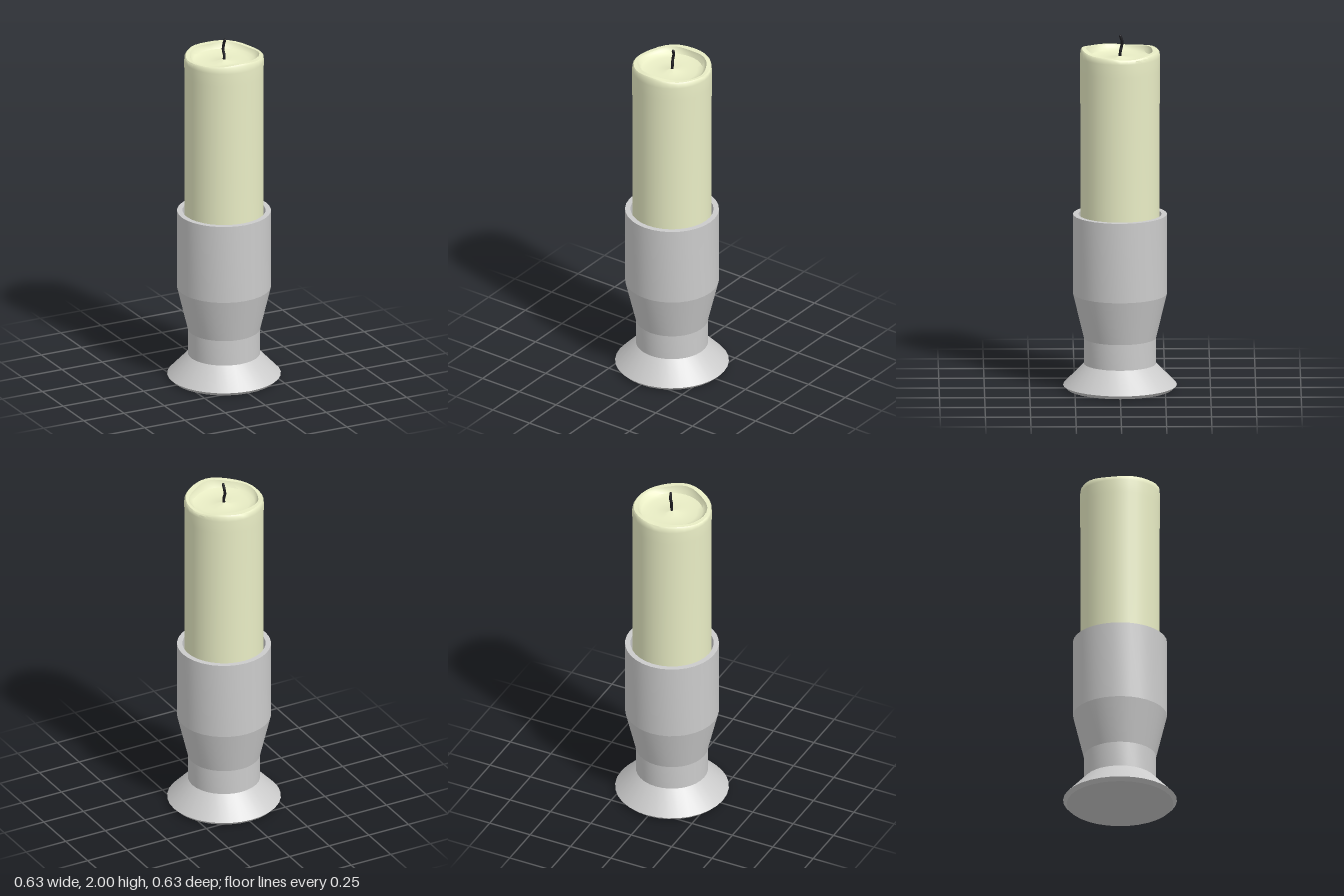
import * as THREE from 'three';
import { toCreasedNormals } from 'three/addons/utils/BufferGeometryUtils.js';

const SEGMENTS = 32;

function lathe(points) {
  return new THREE.LatheGeometry(points.map(([r, y]) => new THREE.Vector2(r, y)), SEGMENTS);
}

function addMesh(group, name, geometry, color) {
  const mesh = new THREE.Mesh(geometry, new THREE.MeshStandardMaterial({ color }));
  mesh.name = name;
  group.add(mesh);
  return mesh;
}

// Uneven melted rim: height and inner width vary around the candle
function meltRim(geometry) {
  const p = geometry.attributes.position;
  for (let i = 0; i < p.count; i++) {
    const x = p.getX(i), y = p.getY(i), z = p.getZ(i);
    const r = Math.hypot(x, z);
    if (y < 1.8 || r < 0.12) continue;
    const a = Math.atan2(x, z), c = Math.cos(a);
    const lift = (c > 0 ? 0.02 : 0.012) * c * c + 0.003 * Math.cos(5 * a);
    const weight = THREE.MathUtils.smoothstep(y, 1.872, 1.9);
    let s = 1;
    if (r < 0.205) s += (0.03 * -Math.cos(2 * a) + 0.02 * Math.cos(5 * a)) * weight;
    p.setXYZ(i, x * s, y + lift * weight, z * s);
  }
  return geometry;
}

export function createModel() {
  const model = new THREE.Group();
  model.name = 'candleInHolder';

  // Holder: flared foot, narrow stem and open cup
  const holder = lathe([
    [0, 0.005], [0.295, 0.005], [0.315, 0.025], [0.2, 0.145], [0.2, 0.29],
    [0.26, 0.54], [0.26, 0.99], [0.23, 0.99], [0.23, 0.55], [0, 0.55],
  ]);
  holder.translate(0, -0.005, 0);
  addMesh(model, 'holder', toCreasedNormals(holder, 0.215), 0xcccccc);

  // Candle body with a raised rim around a shallow melted pool
  const candle = meltRim(lathe([
    [0, 0.55], [0.218, 0.55], [0.219, 1.05], [0.22, 1.8], [0.221, 1.875],
    [0.219, 1.893], [0.212, 1.9], [0.189, 1.9], [0.183, 1.888], [0.17, 1.876],
    [0.14, 1.87], [0.09, 1.868], [0.045, 1.87], [0.015, 1.878], [0, 1.882],
  ]));
  addMesh(model, 'candle', toCreasedNormals(candle, 0.7), 0xe9edc5);

  // Curved burnt wick with a rounded tip
  const path = new THREE.CatmullRomCurve3([
    [0, 1.87, 0], [0.002, 1.905, -0.002], [-0.001, 1.935, -0.009],
    [0.004, 1.965, -0.011], [0.006, 1.992, -0.002],
  ].map((v) => new THREE.Vector3(...v)));
  const wick = new THREE.Group();
  wick.name = 'wick';
  addMesh(wick, 'wickStem', new THREE.TubeGeometry(path, 16, 0.008, 8), 0x1c1c20);
  addMesh(wick, 'wickTip', new THREE.SphereGeometry(0.008, 8, 6), 0x1c1c20)
    .position.copy(path.getPoint(1));
  model.add(wick);

  return model;
}
